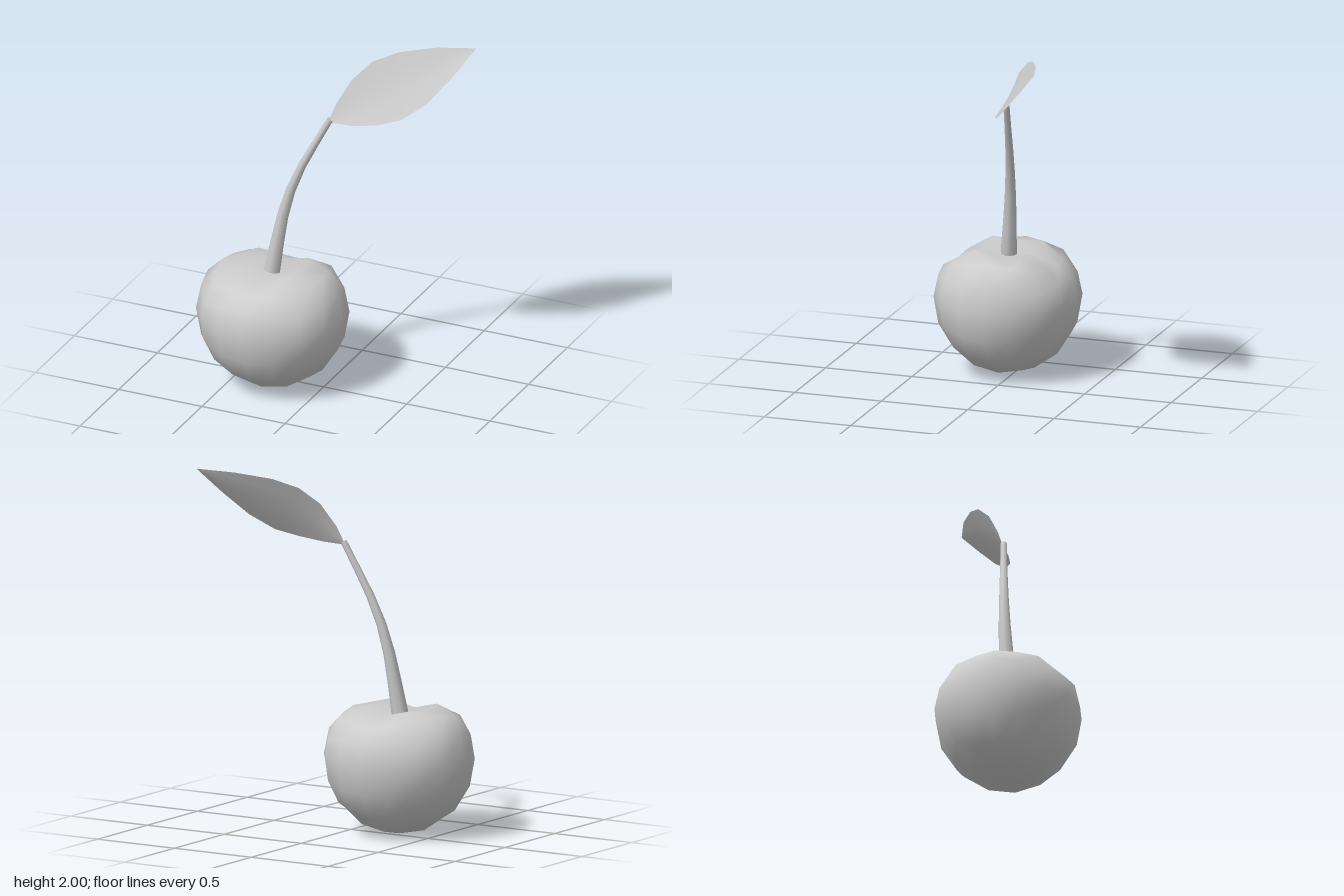
import * as THREE from 'three';
import { mergeVertices } from 'three/addons/utils/BufferGeometryUtils.js';

const grey = new THREE.MeshStandardMaterial({ color: 0xcccccc });
const greyThin = new THREE.MeshStandardMaterial({ color: 0xcccccc, side: THREE.DoubleSide });

function named(name, geometry, material = grey) {
  const mesh = new THREE.Mesh(geometry, material);
  mesh.name = name;
  return mesh;
}

// Fruit: a cube blown up to a ball, its top pressed into a cleft that runs along z
function fruitGeometry() {
  // heights of the top grid, by steps from the middle: [x step][z step]
  const top = [
    [0.66, 0.685, 0.63],
    [0.705, 0.722, 0.645],
    [0.692, 0.675, 0.655],
  ];
  let geo = new THREE.BoxGeometry(1, 1, 1, 4, 4, 4);
  geo.deleteAttribute('uv');
  geo.deleteAttribute('normal');
  geo = mergeVertices(geo);
  const pos = geo.attributes.position;
  const v = new THREE.Vector3();
  const spread = (u) => Math.tan((u * Math.PI) / 2);
  for (let i = 0; i < pos.count; i++) {
    v.fromBufferAttribute(pos, i);
    const stepX = Math.round(Math.abs(v.x) * 4);
    const stepZ = Math.round(Math.abs(v.z) * 4);
    const onTop = v.y > 0.49;
    const upper = v.y > 0.01;
    v.set(spread(v.x), spread(v.y), spread(v.z)).normalize();
    let y = 0.44 + 0.43 * v.y;
    if (onTop) y = top[stepX][stepZ];
    else if (upper) y -= 0.03 * Math.abs(v.z);
    pos.setXYZ(i, 0.422 * v.x, y, 0.405 * v.z);
  }
  geo.computeVertexNormals();
  return geo;
}

// Stem: a tube whose rings shrink towards the tip
function stemParts() {
  const curve = new THREE.CatmullRomCurve3([
    new THREE.Vector3(-0.29, 0.67, 0.042),
    new THREE.Vector3(-0.232, 1.03, 0.012),
    new THREE.Vector3(-0.163, 1.25, -0.008),
    new THREE.Vector3(0.015, 1.605, -0.052),
  ]);
  const rings = 6, sides = 8;
  const radius = (t) => 0.018 + 0.029 * Math.pow(1 - t, 1.6);
  const geo = new THREE.TubeGeometry(curve, rings, 1, sides);
  const pos = geo.attributes.position;
  const v = new THREE.Vector3();
  for (let i = 0; i < pos.count; i++) {
    const t = Math.floor(i / (sides + 1)) / rings;
    const centre = curve.getPointAt(t);
    v.fromBufferAttribute(pos, i).sub(centre).multiplyScalar(radius(t)).add(centre);
    pos.setXYZ(i, v.x, v.y, v.z);
  }
  const group = new THREE.Group();
  group.name = 'stem';
  group.add(named('stemShaft', geo));
  // end caps
  for (const [t, dir] of [[0, -1], [1, 1]]) {
    const cap = named(t ? 'stemTip' : 'stemFoot', new THREE.CircleGeometry(radius(t), sides));
    cap.position.copy(curve.getPointAt(t));
    cap.quaternion.setFromUnitVectors(
      new THREE.Vector3(0, 0, 1), curve.getTangentAt(t).multiplyScalar(dir));
    group.add(cap);
  }
  return group;
}

// Leaf: cross-sections strung between its two edges, gently cupped
function leafGeometry() {
  const upper = [
    [0.008, 1.605, -0.06], [0.035, 1.69, -0.09], [0.1, 1.82, -0.155], [0.185, 1.91, -0.235],
    [0.31, 1.96, -0.31], [0.5, 1.99, -0.395], [0.705, 2.0, -0.455],
  ];
  const lower = [
    [0.02, 1.587, -0.052], [0.14, 1.59, -0.055], [0.28, 1.61, -0.08], [0.405, 1.645, -0.135],
    [0.52, 1.73, -0.22], [0.62, 1.86, -0.335], [0.705, 1.995, -0.452],
  ];
  const across = 4;
  const back = new THREE.Vector3(-0.2, -0.5, -0.85);
  const points = [], index = [];
  upper.forEach((u, i) => {
    const a = new THREE.Vector3(...u), b = new THREE.Vector3(...lower[i]);
    const cup = 0.04 * a.distanceTo(b);
    for (let j = 0; j <= across; j++) {
      const s = j / across;
      const p = a.clone().lerp(b, s).addScaledVector(back, cup * Math.sin(Math.PI * s));
      points.push(p.x, p.y, p.z);
      if (i < upper.length - 1 && j < across) {
        const k = i * (across + 1) + j, n = k + across + 1;
        index.push(k, k + 1, n + 1, k, n + 1, n);
      }
    }
  });
  const geo = new THREE.BufferGeometry();
  geo.setAttribute('position', new THREE.Float32BufferAttribute(points, 3));
  geo.setIndex(index);
  geo.computeVertexNormals();
  return geo;
}

export function createModel() {
  const model = new THREE.Group();
  model.name = 'cherry';
  const fruit = named('fruit', fruitGeometry());
  fruit.position.set(-0.285, -0.01, 0.045);
  model.add(fruit, stemParts(), named('leaf', leafGeometry(), greyThin));
  return model;
}
